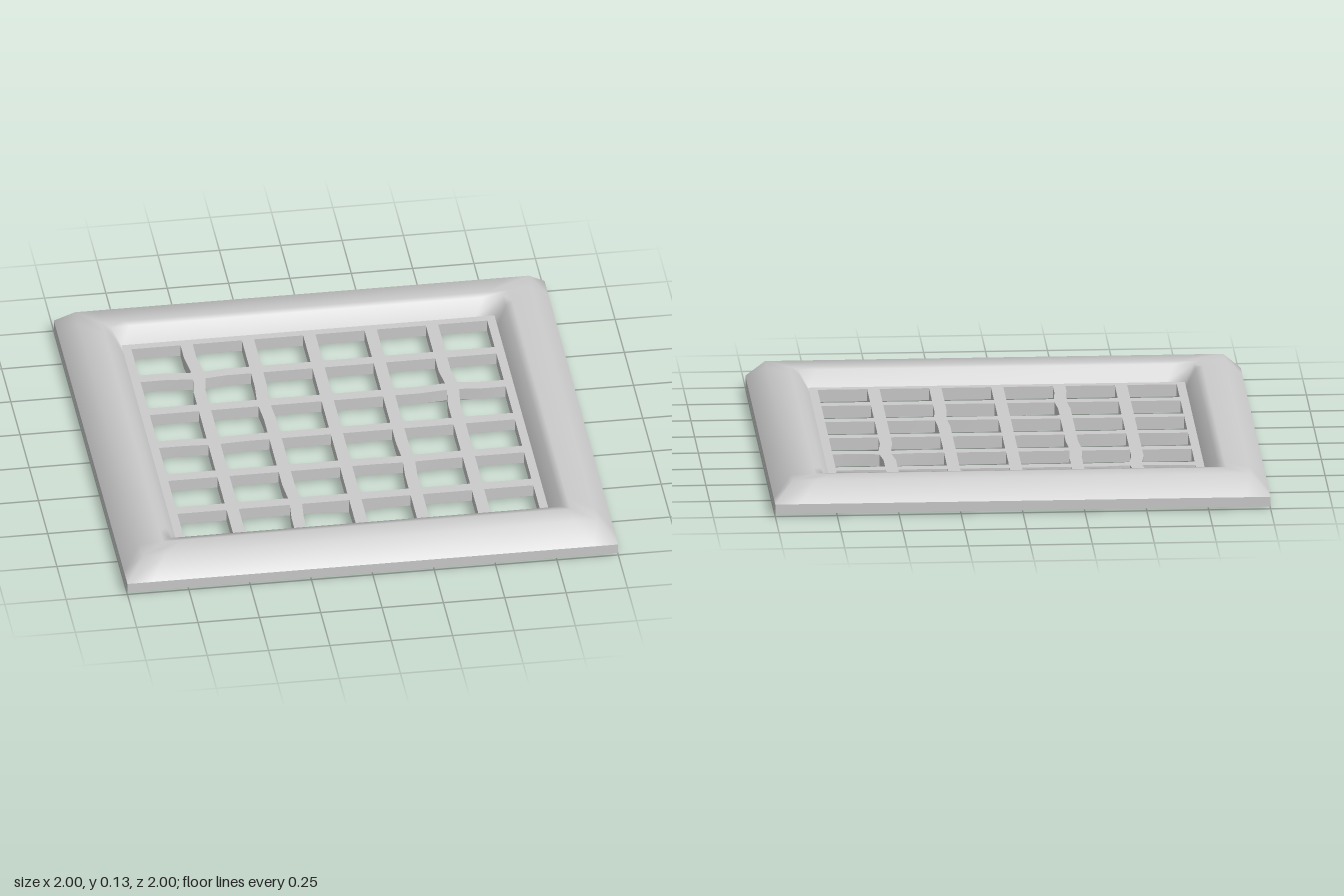
import * as THREE from 'three';
import { toCreasedNormals } from 'three/addons/utils/BufferGeometryUtils.js';

const FLOOR = 0.06, BOTTOM = 0.01, PITCH = 0.25, HOLE = 0.2;
const material = new THREE.MeshStandardMaterial({ color: 0xcccccc, side: THREE.DoubleSide });

// slight hand-made wobble of a few bar crossings: [x, z, dx, dy, dz]
const wobbles = [
  [-0.5, -0.5, 0.013, 0, 0.01], [-0.25, -0.25, -0.007, 0, 0],
  [0.5, -0.25, 0.012, 0, -0.01], [-0.5, 0, 0, 0, 0.006],
  [-0.25, 0.5, 0.008, 0, 0], [0.25, 0.25, 0.006, 0, 0.003],
  [0, 0.5, 0, -0.01, 0],
];

// sheet stretched between closed loops of points
function loft(loops) {
  const n = loops[0].length, pos = [], index = [];
  loops.forEach((loop) => loop.forEach((p) => pos.push(p.x, p.y, p.z)));
  for (let r = 0; r < loops.length - 1; r++) {
    for (let i = 0; i < n; i++) {
      const a = r * n + i, b = r * n + (i + 1) % n;
      index.push(a, a + n, b, b, a + n, b + n);
    }
  }
  const g = new THREE.BufferGeometry();
  g.setAttribute('position', new THREE.Float32BufferAttribute(pos, 3));
  g.setIndex(index);
  g.computeVertexNormals();
  return g;
}

// square loop, counter-clockwise seen from above, with extra points near the corners
function squareLoop(half, y) {
  const points = [];
  for (let side = 0; side < 4; side++) {
    for (const t of [-1, -0.9, -0.6, 0, 0.6, 0.9]) {
      const p = new THREE.Vector3(half, y, -t * half);
      points.push(p.applyAxisAngle(new THREE.Vector3(0, 1, 0), side * Math.PI / 2));
    }
  }
  return points;
}

// hole outline: corners and edge midpoints, each corner following its bar crossing
function holeLoop(cx, cz) {
  const points = [], steps = [[1, 1], [1, 0], [1, -1], [0, -1], [-1, -1], [-1, 0], [-1, 1], [0, 1]];
  for (const [sx, sz] of steps) {
    const p = new THREE.Vector3(cx + sx * HOLE / 2, 0, cz + sz * HOLE / 2);
    if (sx && sz) {
      const nx = cx + sx * PITCH / 2, nz = cz + sz * PITCH / 2;
      const w = wobbles.find(([x, z]) => Math.abs(x - nx) < 0.01 && Math.abs(z - nz) < 0.01);
      if (w) p.add(new THREE.Vector3(w[2], w[3], w[4]));
    }
    points.push(p);
  }
  return points;
}

export function createModel() {
  const group = new THREE.Group();
  const add = (name, geometry) => {
    const mesh = new THREE.Mesh(geometry, material);
    mesh.name = name;
    group.add(mesh);
  };

  // outer skirt and raised, sloping rim
  add('skirt', toCreasedNormals(loft([squareLoop(1, BOTTOM), squareLoop(1, 0.05)].reverse()), 0.5));
  const rimProfile = [[0.76, FLOOR], [0.8, 0.125], [0.83, 0.13], [0.925, 0.13], [1, 0.05]];
  add('rim', loft(rimProfile.map(([half, y]) => squareLoop(half, y))));

  // floor grid with its holes, each with walls hanging below
  const plate = new THREE.Shape([[-1, -1], [1, -1], [1, 1], [-1, 1]]
    .map(([x, y]) => new THREE.Vector2(x * 0.76, y * 0.76)));
  const walls = new THREE.Group();
  walls.name = 'holeWalls';
  for (let i = 0; i < 6; i++) {
    for (let j = 0; j < 6; j++) {
      const loop = holeLoop((i - 2.5) * PITCH, (j - 2.5) * PITCH);
      plate.holes.push(new THREE.Path(loop.map((p) => new THREE.Vector2(p.x, -p.z))));
      const at = (y) => loop.map((p) => new THREE.Vector3(p.x, p.y + y, p.z));
      const mesh = new THREE.Mesh(toCreasedNormals(loft([at(BOTTOM), at(FLOOR)]), 0.5), material);
      mesh.name = 'holeWall';
      walls.add(mesh);
    }
  }
  // keep the top edge of the walls level with the floor
  walls.children.forEach((mesh) => {
    const p = mesh.geometry.attributes.position;
    for (let i = 0; i < p.count; i++) if (p.getY(i) > 0.03) p.setY(i, FLOOR);
  });
  group.add(walls);
  add('floorGrid', new THREE.ShapeGeometry(plate).rotateX(-Math.PI / 2).translate(0, FLOOR, 0));
  return group;
}
